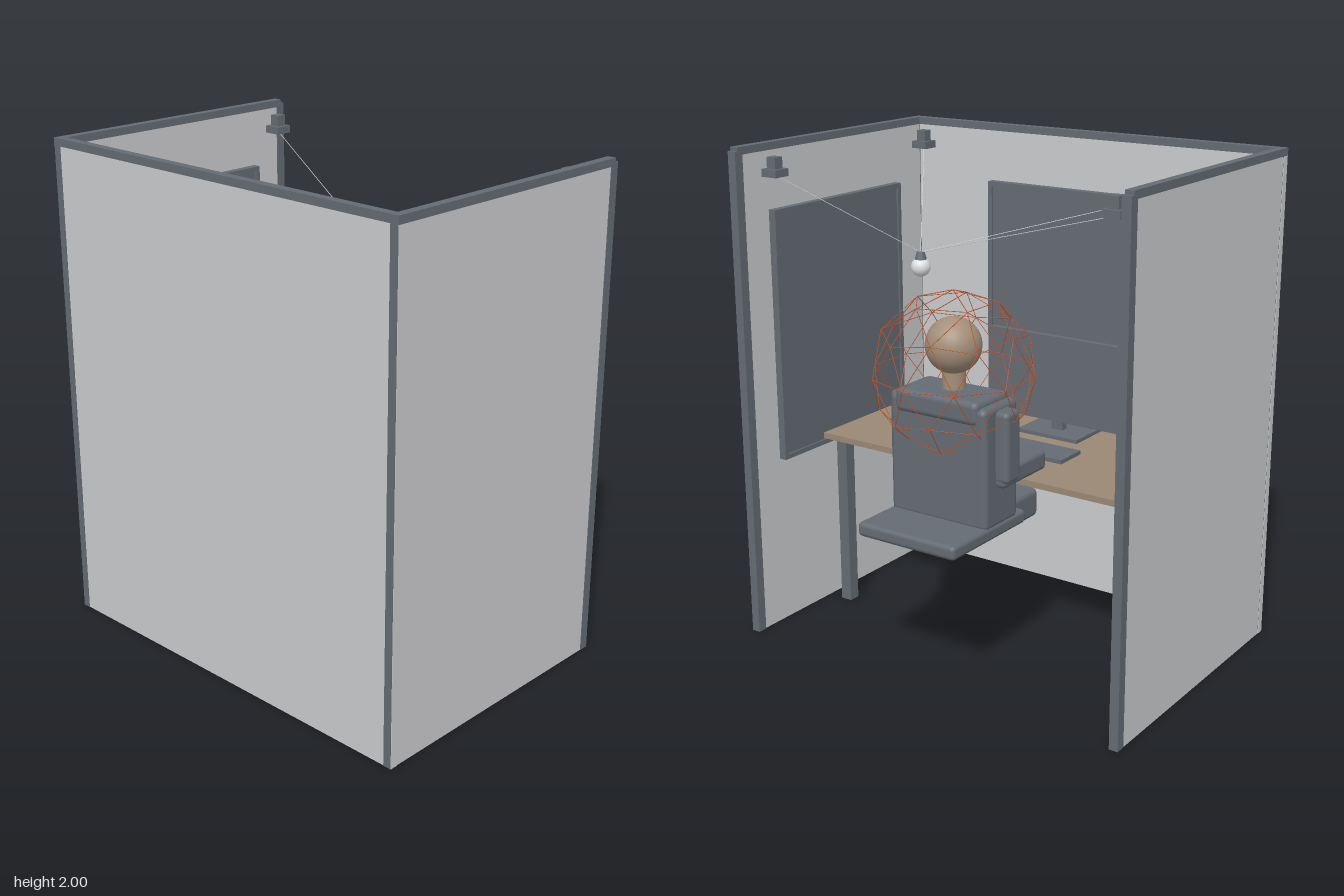
import * as THREE from 'three';
import { RoundedBoxGeometry } from 'three/addons/geometries/RoundedBoxGeometry.js';

const mat = (name, color) => Object.assign(new THREE.MeshStandardMaterial({ color }), { name });

export function createModel() {
  const slate = mat('slate', 0x646b73);
  const panel = mat('panel grey', 0xcbccce);
  const wood = mat('desk wood', 0x9a8875);
  const skin = mat('head tan', 0xa48f7a);
  const white = mat('device white', 0xdfe1e3);
  const orange = mat('wire orange', 0xc8562a);

  const root = new THREE.Group();
  root.name = 'workBooth';
  const add = (name, geo, material, x = 0, y = 0, z = 0, parent = root) => {
    const m = new THREE.Mesh(geo, material);
    m.name = name;
    m.position.set(x, y, z);
    parent.add(m);
    return m;
  };
  // Boxes given by their extents on each axis; r > 0 rounds the edges
  const box = (name, material, [x0, x1], [y0, y1], [z0, z1], r = 0, parent = root) => {
    const s = [x1 - x0, y1 - y0, z1 - z0];
    const geo = r ? new RoundedBoxGeometry(...s, 2, r) : new THREE.BoxGeometry(...s);
    return add(name, geo, material, (x0 + x1) / 2, (y0 + y1) / 2, (z0 + z1) / 2, parent);
  };
  const sides = (fn) => [1, -1].forEach(fn);
  const span = (s, a, b) => (s > 0 ? [a, b] : [-b, -a]);
  // Thin straight wire between two points
  const wire = (name, a, b, r, material, parent = root) => {
    const dir = b.clone().sub(a);
    const m = add(name, new THREE.CylinderGeometry(r, r, dir.length(), 4, 1, true), material, 0, 0, 0, parent);
    m.position.copy(a).add(b).multiplyScalar(0.5);
    m.quaternion.setFromUnitVectors(new THREE.Vector3(0, 1, 0), dir.normalize());
  };

  // Front wall with its top rail and corner posts
  box('frontPanel', panel, [-0.875, 0.875], [0, 1.97], [0.602, 0.633]);
  box('frontRail', slate, [-0.875, 0.875], [1.97, 2], [0.6, 0.635]);
  sides((s) => {
    box('cornerPost', slate, span(s, 0.84, 0.873), [0, 1.97], [0.6, 0.635]);
    // Side walls
    box('sidePanel', panel, span(s, 0.842, 0.873), [0, 1.97], [-0.51, 0.6]);
    box('sideRail', slate, span(s, 0.84, 0.875), [1.97, 2], [-0.535, 0.6]);
    box('backPost', slate, span(s, 0.838, 0.875), [0, 1.985], [-0.55, -0.51]);
    // Side board with raised rim
    const [z0, z1, y0, y1] = [-0.375, 0.42, 0.71, 1.74];
    box('sideBoard', slate, span(s, 0.818, 0.842), [y0, y1], [z0, z1]);
    for (const y of [y0, y1 - 0.02]) box('sideBoardRim', slate, span(s, 0.81, 0.842), [y, y + 0.02], [z0, z1]);
    for (const z of [z0, z1 - 0.02]) box('sideBoardRim', slate, span(s, 0.81, 0.842), [y0, y1], [z, z + 0.02]);
  });

  // Front board with raised rim
  box('frontBoard', slate, [-0.455, 0.455], [0.71, 1.76], [0.573, 0.602]);
  for (const y of [0.71, 1.74]) box('frontBoardRim', slate, [-0.455, 0.455], [y, y + 0.02], [0.565, 0.602]);
  for (const x of [-0.455, 0.435]) box('frontBoardRim', slate, [x, x + 0.02], [0.71, 1.76], [0.565, 0.602]);

  // Desk, legs and equipment
  box('deskTop', wood, [-0.81, 0.81], [0.738, 0.763], [-0.135, 0.592]);
  sides((s) => [-0.07, 0.53].forEach((z) =>
    box('deskLeg', slate, span(s, 0.725, 0.775), [0, 0.738], [z - 0.025, z + 0.025])));
  box('keyboard', slate, [-0.225, 0.225], [0.763, 0.78], [0.09, 0.235]);
  box('monitorBase', slate, [-0.145, 0.145], [0.763, 0.778], [0.335, 0.535]);
  box('monitorNeck', slate, [-0.028, 0.028], [0.778, 0.98], [0.414, 0.445]);
  box('monitor', slate, [-0.32, 0.32], [0.82, 1.185], [0.39, 0.415]);

  // Seat and seated figure
  const figure = new THREE.Group();
  figure.name = 'seatedFigure';
  root.add(figure);
  box('seat', slate, [-0.225, 0.225], [0.6, 0.657], [-0.635, -0.16], 0.018, figure);
  box('torso', slate, [-0.222, 0.222], [0.64, 1.12], [-0.43, -0.21], 0.025, figure);
  box('shoulders', slate, [-0.19, 0.19], [1.05, 1.145], [-0.44, -0.225], 0.025, figure);
  sides((s) => {
    box('thigh', slate, span(s, 0.022, 0.17), [0.56, 0.68], [-0.35, 0.015], 0.025, figure);
    box('upperArm', slate, span(s, 0.2, 0.275), [0.82, 1.1], [-0.362, -0.27], 0.02, figure);
    box('forearm', slate, span(s, 0.17, 0.26), [0.8, 0.88], [-0.36, -0.07], 0.02, figure);
  });
  add('neck', new THREE.CylinderGeometry(0.045, 0.045, 0.12, 20), skin, 0, 1.18, -0.315, figure);
  add('head', new THREE.SphereGeometry(0.108, 28, 18), skin, 0, 1.31, -0.315, figure);

  // Wire globe around the head: each unique edge of a subdivided icosahedron
  const globe = new THREE.Group();
  globe.name = 'wireGlobe';
  globe.position.set(0, 1.205, -0.315);
  root.add(globe);
  const ico = new THREE.IcosahedronGeometry(0.315, 1);
  ico.rotateX(-Math.atan((1 + Math.sqrt(5)) / 2)).rotateY(Math.PI / 2);
  const p = ico.attributes.position;
  const seen = new Set();
  const key = (v) => v.toArray().map((n) => Math.round(n * 1000) + 0).join(',');
  for (let i = 0; i < p.count; i += 3) {
    for (let k = 0; k < 3; k++) {
      const a = new THREE.Vector3().fromBufferAttribute(p, i + k);
      const b = new THREE.Vector3().fromBufferAttribute(p, i + ((k + 1) % 3));
      const id = [key(a), key(b)].sort().join('|');
      if (seen.has(id)) continue;
      seen.add(id);
      wire('globeWire', a, b, 0.0015, orange, globe);
    }
  }

  // Four corner mounts with cables to the hanging ball
  const hang = new THREE.Vector3(0.445, 1.54, 0.075);
  sides((s) => [-0.43, 0.51].forEach((z) => {
    const x = s * 0.75;
    box('mountPlate', slate, [x - 0.036, x + 0.036], [1.885, 1.915], [z - 0.036, z + 0.036]);
    box('mountBlock', slate, [x - 0.021, x + 0.021], [1.915, 1.96], [z - 0.021, z + 0.021]);
    wire('cable', new THREE.Vector3(x, 1.89, z), hang, 0.0015, white);
  }));
  add('hangingBall', new THREE.SphereGeometry(0.04, 24, 16), white, hang.x, 1.48, hang.z);
  add('hangingCap', new THREE.CylinderGeometry(0.016, 0.025, 0.032, 16), slate, hang.x, 1.526, hang.z);

  // Wall camera on the right wall
  box('cameraBracket', slate, [-0.842, -0.79], [1.73, 1.765], [0, 0.05]);
  box('cameraArm', slate, [-0.84, -0.8], [1.64, 1.74], [0.01, 0.04]);
  add('cameraFlange', new THREE.CylinderGeometry(0.055, 0.055, 0.024, 24), white, -0.79, 1.67, 0.025).rotation.z = Math.PI / 2;
  add('cameraBall', new THREE.SphereGeometry(0.044, 24, 16), white, -0.779, 1.67, 0.025);

  return root;
}
